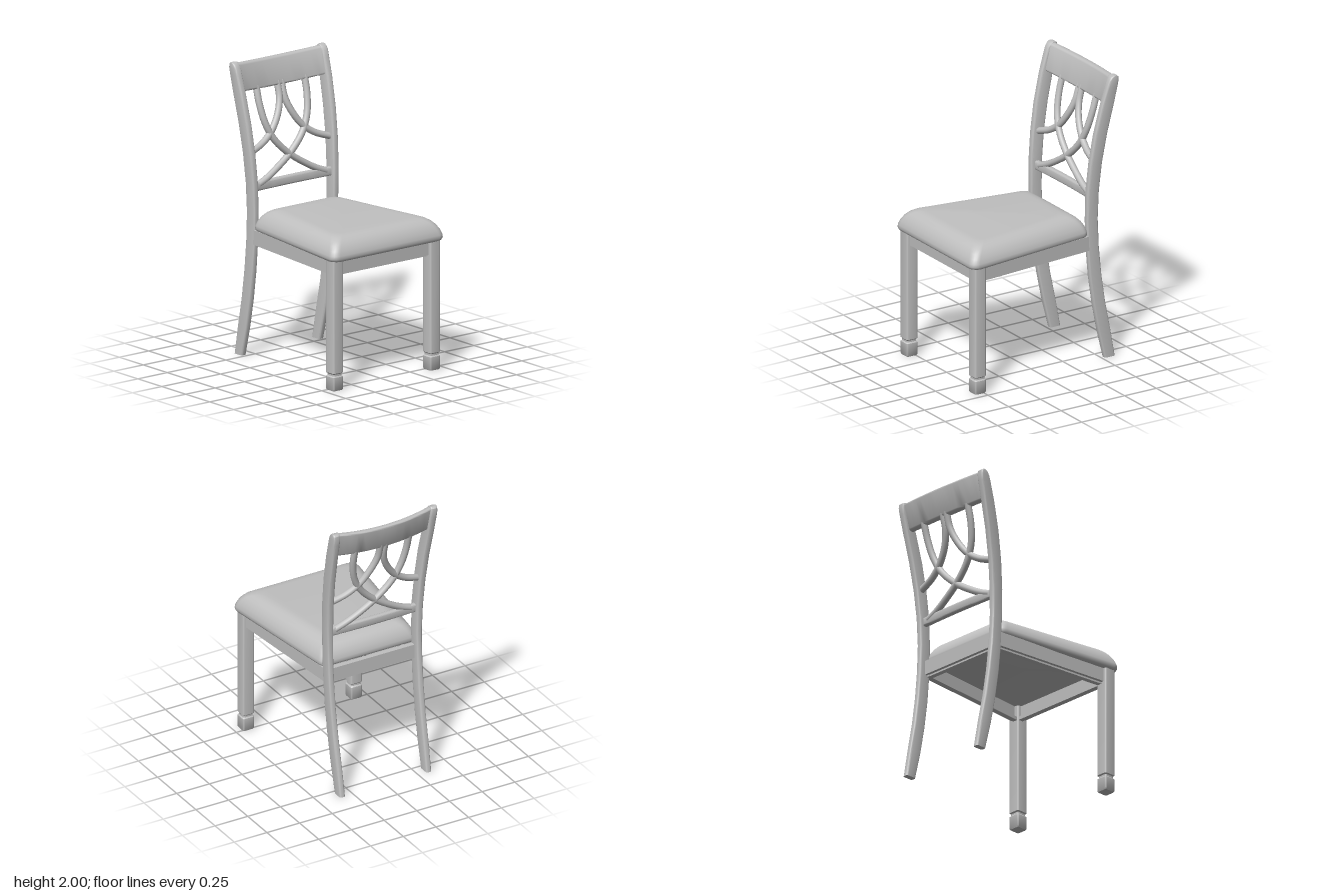
import * as THREE from 'three';
import { toCreasedNormals } from 'three/addons/utils/BufferGeometryUtils.js';

const grey = new THREE.MeshStandardMaterial({ color: 0xc0c0c0 });
grey.name = 'plain grey';

// Skin a list of equal-length rings (counter-clockwise about the direction of travel) and cap both ends
function loft(rings, crease = 0.7) {
  const n = rings[0].length, pos = [], idx = [];
  rings.forEach(r => r.forEach(p => pos.push(p.x, p.y, p.z)));
  for (let k = 0; k < rings.length - 1; k++) {
    for (let i = 0; i < n; i++) {
      const a = k * n + i, b = k * n + (i + 1) % n;
      idx.push(a, b, b + n, a, b + n, a + n);
    }
  }
  const last = (rings.length - 1) * n;
  for (let i = 1; i < n - 1; i++) {
    idx.push(0, i + 1, i);
    idx.push(last, last + i, last + i + 1);
  }
  const g = new THREE.BufferGeometry();
  g.setAttribute('position', new THREE.Float32BufferAttribute(pos, 3));
  g.setIndex(idx);
  return toCreasedNormals(g, crease);
}

// Horizontal rounded trapezoid at height y
function ring(y, cx, halfBack, halfFront, zBack, zFront, r, steps = 3) {
  const pts = [];
  const corners = [[1, -1], [-1, -1], [-1, 1], [1, 1]];
  corners.forEach(([sx, sz], c) => {
    const half = sz < 0 ? halfBack : halfFront, z = sz < 0 ? zBack : zFront;
    for (let i = 0; i <= steps; i++) {
      const a = (c + i / steps) * Math.PI / 2;
      pts.push(new THREE.Vector3(
        cx + sx * (half - r) + r * Math.cos(a), y, z - sz * r - r * Math.sin(a)));
    }
  });
  return pts;
}

// Back post: height, front z, back z, inner x, outer x
const post = [
  [0, -0.52, -0.6, 0.31, 0.35], [0.2, -0.47, -0.563, 0.311, 0.352],
  [0.4, -0.43, -0.522, 0.313, 0.354], [0.6, -0.4, -0.491, 0.315, 0.356],
  [0.8, -0.381, -0.47, 0.317, 0.358], [1.0, -0.374, -0.46, 0.318, 0.36],
  [1.2, -0.377, -0.465, 0.321, 0.366], [1.4, -0.395, -0.485, 0.329, 0.374],
  [1.6, -0.427, -0.52, 0.337, 0.382], [1.8, -0.475, -0.567, 0.345, 0.39],
  [1.92, -0.512, -0.593, 0.346, 0.395], [1.965, -0.527, -0.6, 0.346, 0.397],
  [1.99, -0.543, -0.598, 0.347, 0.397], [2.0, -0.56, -0.586, 0.348, 0.397],
];

// Depth of the back's mid-surface, bowing backward toward the middle
function backZ(x, y) {
  let k = 0;
  while (k < post.length - 2 && post[k + 1][0] < y) k++;
  const [a, b] = [post[k], post[k + 1]];
  const t = (y - a[0]) / (b[0] - a[0]);
  const mid = THREE.MathUtils.lerp((a[1] + a[2]) / 2, (b[1] + b[2]) / 2, t);
  const bow = THREE.MathUtils.mapLinear(y, 1.17, 1.9, 0.01, 0.036);
  return mid - bow * (1 - (x / 0.34) ** 2);
}

export function createModel() {
  const chair = new THREE.Group();
  chair.name = 'diningChair';
  const add = (name, geo) => {
    const m = new THREE.Mesh(geo, grey);
    m.name = name;
    chair.add(m);
    return m;
  };

  // Padded seat: height and inset from the widest outline
  const pad = [[0.882, 0.02], [0.89, 0.006], [0.905, 0], [0.925, 0.002], [0.955, 0.013],
    [0.985, 0.03], [1.01, 0.053], [1.027, 0.08], [1.036, 0.105], [1.04, 0.135]];
  add('seatCushion', loft(pad.map(([y, d]) =>
    ring(y, 0, 0.368 - d, 0.477 - d, -0.393 + d, 0.602 - d, 0.055, 6)), 0.9));

  // Front legs with a groove above the foot block: height and inset
  const legSteps = [[0, 0.004], [0.008, 0], [0.092, 0], [0.1, 0.007], [0.112, 0.007], [0.12, 0], [0.89, 0]];
  for (const s of [1, -1]) {
    const side = s > 0 ? 'left' : 'right';
    add(side + 'FrontLeg', loft(legSteps.map(([y, d]) =>
      ring(y, s * 0.413, 0.043 - d, 0.043 - d, 0.484 + d, 0.57 - d, 0.011))));
    add(side + 'BackPost', loft(post.map(([y, zf, zb, xi, xo]) =>
      ring(y, s * (xi + xo) / 2, (xo - xi) / 2, (xo - xi) / 2, zb, zf, 0.012))));
  }

  // Aprons with a thin lip along the lower inside edge
  const bar = (name, x1, z1, x2, z2, y1, y2, t) => {
    const dx = x2 - x1, dz = z2 - z1;
    const m = add(name, new THREE.BoxGeometry(Math.hypot(dx, dz), y2 - y1, t));
    m.position.set((x1 + x2) / 2, (y1 + y2) / 2, (z1 + z2) / 2);
    m.rotation.y = -Math.atan2(dz, dx);
  };
  const aprons = [
    ['front', -0.39, 0.53, 0.39, 0.53, 0, -0.022], ['back', -0.33, -0.41, 0.33, -0.41, 0, 0.022],
    ['left', 0.42, 0.5, 0.338, -0.41, -0.022, 0], ['right', -0.42, 0.5, -0.338, -0.41, 0.022, 0],
  ];
  for (const [n, x1, z1, x2, z2, ox, oz] of aprons) {
    bar(n + 'Apron', x1, z1, x2, z2, 0.788, 0.888, 0.035);
    bar(n + 'ApronLip', x1 + ox, z1 + oz, x2 + ox, z2 + oz, 0.776, 0.8, 0.035);
  }

  // Bowed cross rails, lofted from one post to the other
  const rail = (name, halfLen, low, high, dip, depth, r) => {
    const rings = [];
    for (let k = 0; k <= 16; k++) {
      const x = halfLen * (k / 8 - 1), sag = dip * (1 - (x / halfLen) ** 2);
      const pts = [];
      [[1, 1], [-1, 1], [-1, -1], [1, -1]].forEach(([sy, sz], c) => {
        for (let i = 0; i <= 3; i++) {
          const a = (c + i / 3) * Math.PI / 2;
          const y = (sy > 0 ? high : low) - sag - sy * r + r * Math.cos(a);
          pts.push(new THREE.Vector3(x, y, backZ(x, y) + sz * (depth / 2 - r) + r * Math.sin(a)));
        }
      });
      rings.push(pts);
    }
    add(name, loft(rings));
  };
  rail('topRail', 0.352, 1.808, 1.992, 0.016, 0.044, 0.014);
  rail('lowerRail', 0.328, 1.14, 1.2, 0, 0.036, 0.01);

  // Interlaced curved slats, mirrored
  const slats = {
    LongSlat: [[-0.206, 1.82], [-0.203, 1.7], [-0.178, 1.57], [-0.12, 1.455], [-0.01, 1.345],
      [0.12, 1.258], [0.22, 1.205], [0.29, 1.178]],
    ShortSlat: [[-0.018, 1.82], [-0.021, 1.71], [-0.058, 1.61], [-0.13, 1.51], [-0.22, 1.445], [-0.335, 1.403]],
  };
  for (const s of [1, -1]) {
    for (const [n, pts] of Object.entries(slats)) {
      const path = new THREE.CatmullRomCurve3(pts.map(([x, y]) =>
        new THREE.Vector3(s * x, y, backZ(x, y))));
      add((s > 0 ? 'right' : 'left') + n, new THREE.TubeGeometry(path, 32, 0.023, 10));
    }
  }
  return chair;
}
